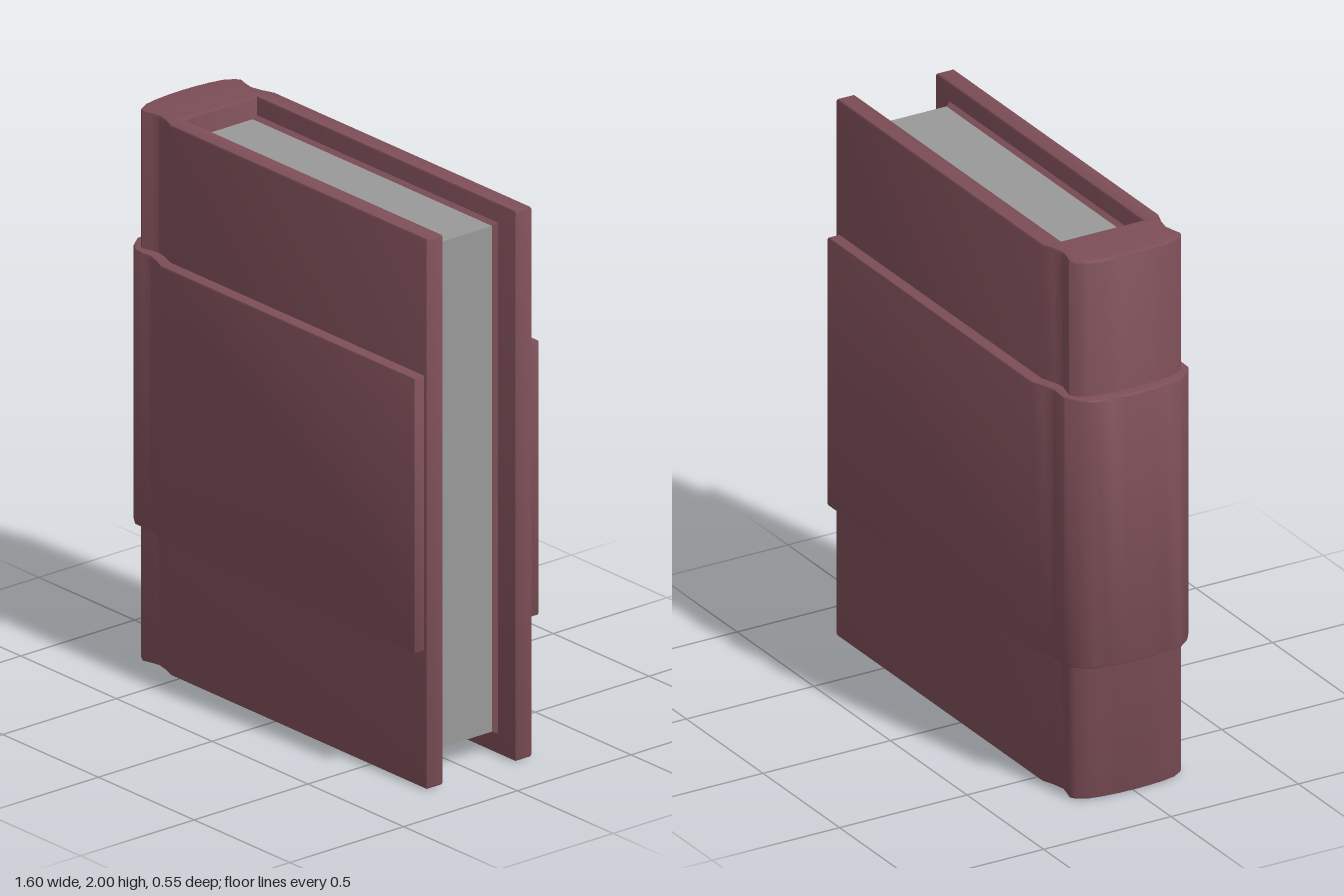
import * as THREE from 'three';
import { toCreasedNormals } from 'three/addons/utils/BufferGeometryUtils.js';

const maroon = new THREE.MeshStandardMaterial({ color: 0x7d4e57 });
const grey = new THREE.MeshStandardMaterial({ color: 0x999999 });

// Half profiles in plan as [x, z], from the fore edge round to the spine
const coverHalf = [[0.8, 0.23], [-0.54, 0.23], [-0.585, 0.213], [-0.63, 0.203], [-0.665, 0.21],
  [-0.7, 0.22], [-0.72, 0.207], [-0.742, 0.17], [-0.752, 0.12], [-0.758, 0.06]];
const bandHalf = [[0.787, 0.273], [-0.54, 0.273], [-0.585, 0.255], [-0.63, 0.24], [-0.665, 0.244],
  [-0.71, 0.243], [-0.75, 0.215], [-0.785, 0.17], [-0.794, 0.11], [-0.8, 0.05]];

const mirrored = (half) => half.map(([x, z]) => [x, -z]).reverse();

// Closed plan outline: outer half, its mirror, then the inner wall
function outline(outer, spine, inner) {
  const points = [...outer, ...spine, ...mirrored(outer), ...mirrored(inner), ...inner.slice()];
  return new THREE.Shape(points.map(([x, z]) => new THREE.Vector2(x, z)));
}

// Extrude a plan outline upward between two heights with eased edges
function upright(shape, bottom, top, bevel) {
  const geometry = new THREE.ExtrudeGeometry(shape, {
    depth: top - bottom - 2 * bevel, bevelEnabled: true, bevelThickness: bevel,
    bevelSize: bevel, bevelOffset: -bevel, bevelSegments: 2,
  });
  geometry.rotateX(Math.PI / 2);
  geometry.translate(0, top - bevel, 0);
  return toCreasedNormals(geometry, 0.55);
}

function box(x0, x1, y0, y1, z0, z1) {
  return new THREE.BoxGeometry(x1 - x0, y1 - y0, z1 - z0)
    .translate((x0 + x1) / 2, (y0 + y1) / 2, (z0 + z1) / 2);
}

// Thin board whose face towards the pages is chamfered
function endpaperGeometry(side) {
  const geometry = box(-0.56, 0.71, 0.075, 1.93, -0.01, 0.01);
  const p = geometry.attributes.position;
  for (let i = 0; i < p.count; i++) {
    if (p.getZ(i) * side < 0) {
      p.setX(i, p.getX(i) > 0 ? 0.7 : -0.56);
      p.setY(i, p.getY(i) > 1 ? 1.92 : 0.085);
    }
  }
  geometry.translate(0, 0, side * 0.151);
  const flat = geometry.toNonIndexed();
  flat.computeVertexNormals();
  return flat;
}

export function createModel() {
  const book = new THREE.Group();
  book.name = 'book';
  const add = (name, geometry, material) => {
    const mesh = new THREE.Mesh(geometry, material);
    mesh.name = name;
    book.add(mesh);
  };

  // Two boards joined by a rounded spine with hinge grooves
  add('cover', upright(outline(coverHalf, [[-0.76, 0]], [[-0.55, 0.16], [0.8, 0.16]]), 0, 2, 0.01), maroon);

  // Wrap around the middle of the cover, its inner wall hidden in the boards
  add('band', upright(outline(bandHalf, [], [[-0.6, 0.19], [0.787, 0.19]]), 0.5, 1.5, 0.008), maroon);

  // Page block and its endpapers
  add('pages', box(-0.56, 0.7, 0.085, 1.92, -0.142, 0.142), grey);
  for (const side of [1, -1]) {
    add(side > 0 ? 'frontEndpaper' : 'backEndpaper', endpaperGeometry(side), maroon);
  }
  return book;
}
